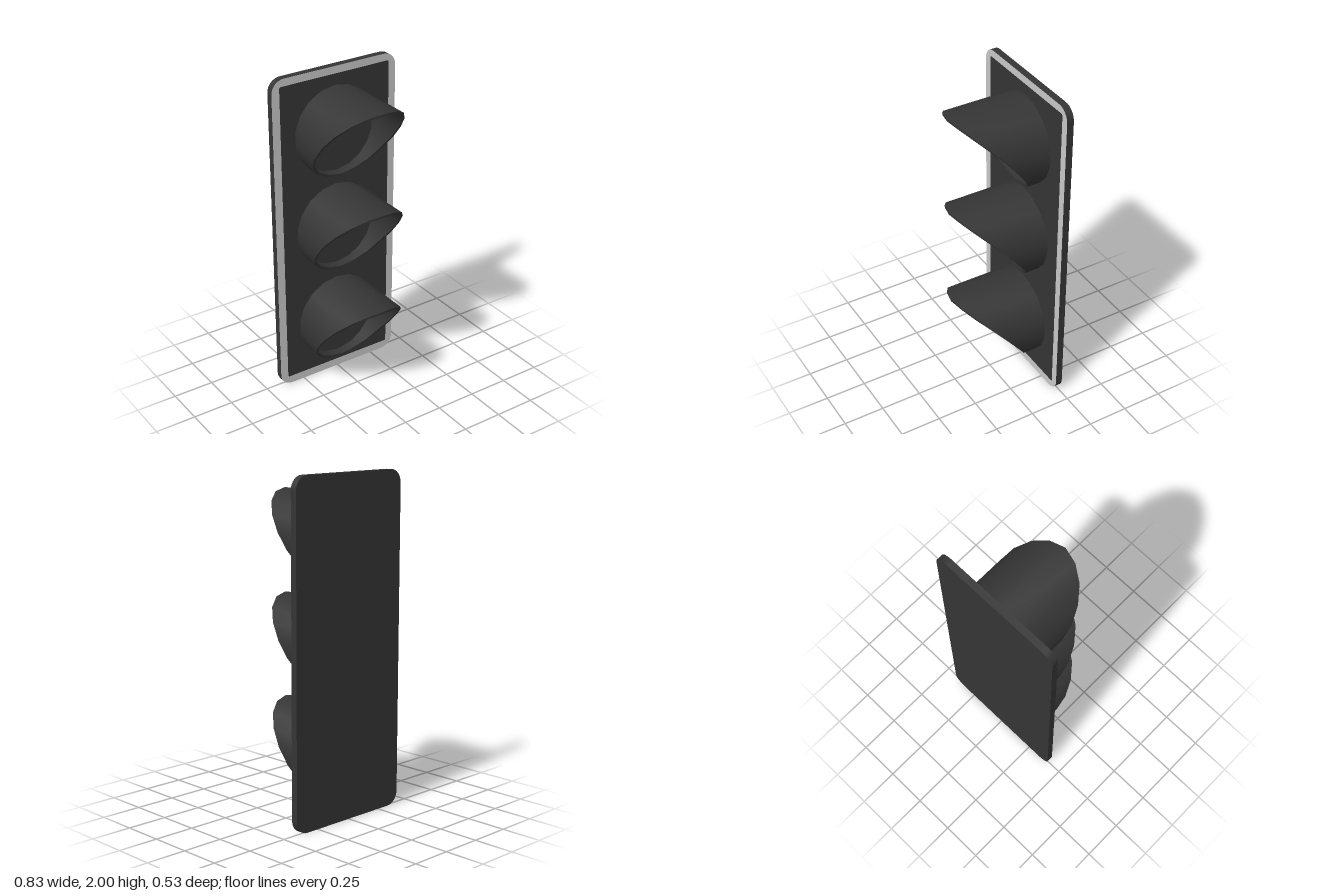
import * as THREE from 'three';

const dark = new THREE.MeshStandardMaterial({ color: 0x353535 });
dark.name = 'dark housing';
const pale = new THREE.MeshStandardMaterial({ color: 0xc8c8c8 });
pale.name = 'pale border';

const BACK = -0.265, FRONT = -0.225;
const OUTER = 0.27, INNER = 0.256, SIDES = 18;

// Rounded rectangle from corner to corner
function roundedRect(x0, y0, x1, y1, r, PathType = THREE.Shape) {
  const p = new PathType();
  p.absarc(x1 - r, y0 + r, r, -Math.PI / 2, 0);
  p.absarc(x1 - r, y1 - r, r, 0, Math.PI / 2);
  p.absarc(x0 + r, y1 - r, r, Math.PI / 2, Math.PI);
  p.absarc(x0 + r, y0 + r, r, Math.PI, Math.PI * 1.5);
  p.closePath();
  return p;
}

// Depth of the visor edge from its top (first) to its bottom (last), in 20 degree steps
const EDGE = [0.264, 0.241, 0.19, 0.118, 0.04, -0.035, -0.1, -0.14, -0.163, -0.166];

// Closed ring of points; depth is a function of the step
function ring(radius, depth) {
  return Array.from({ length: SIDES }, (_, i) => {
    const a = (i / SIDES) * Math.PI * 2;
    return [Math.sin(a) * radius, Math.cos(a) * radius, depth(i)];
  });
}

// Smooth band joining two rings
function band(a, b) {
  const index = [];
  for (let i = 0; i < SIDES; i++) {
    const j = (i + 1) % SIDES;
    index.push(i, SIDES + i, j, j, SIDES + i, SIDES + j);
  }
  const g = new THREE.BufferGeometry();
  g.setAttribute('position', new THREE.Float32BufferAttribute([...a, ...b].flat(), 3));
  g.setIndex(index);
  g.computeVertexNormals();
  return g;
}

// Cut-away tube: outer wall, rim and inner wall
function createVisor() {
  const visor = new THREE.Group();
  const edge = (i) => EDGE[Math.min(i, SIDES - i)];
  const base = () => FRONT;
  const parts = {
    visorOuterWall: band(ring(OUTER, base), ring(OUTER, edge)),
    visorRim: band(ring(OUTER, edge), ring(INNER, edge)),
    visorInnerWall: band(ring(INNER, edge), ring(INNER, base)),
  };
  for (const [name, geometry] of Object.entries(parts)) {
    const mesh = new THREE.Mesh(geometry, dark);
    mesh.name = name;
    visor.add(mesh);
  }
  return visor;
}

export function createModel() {
  const model = new THREE.Group();
  model.name = 'signalHead';

  // Back plate with rounded corners
  const plate = new THREE.Mesh(
    new THREE.ExtrudeGeometry(roundedRect(-0.413, 0, 0.413, 2, 0.08), {
      depth: FRONT - BACK, bevelEnabled: false, curveSegments: 4,
    }), dark);
  plate.name = 'backPlate';
  plate.position.z = BACK;
  model.add(plate);

  // Painted border on the front face
  const frame = roundedRect(-0.413, 0, 0.413, 2, 0.08);
  frame.holes.push(roundedRect(-0.363, 0.05, 0.367, 1.955, 0.012, THREE.Path));
  const border = new THREE.Mesh(new THREE.ShapeGeometry(frame, 4), pale);
  border.name = 'reflectiveBorder';
  border.position.z = FRONT + 0.002;
  model.add(border);

  // Three visors
  [['top', 1.617], ['middle', 1.005], ['bottom', 0.376]].forEach(([name, y]) => {
    const visor = createVisor();
    visor.name = name + 'Visor';
    visor.position.y = y;
    model.add(visor);
  });

  return model;
}
